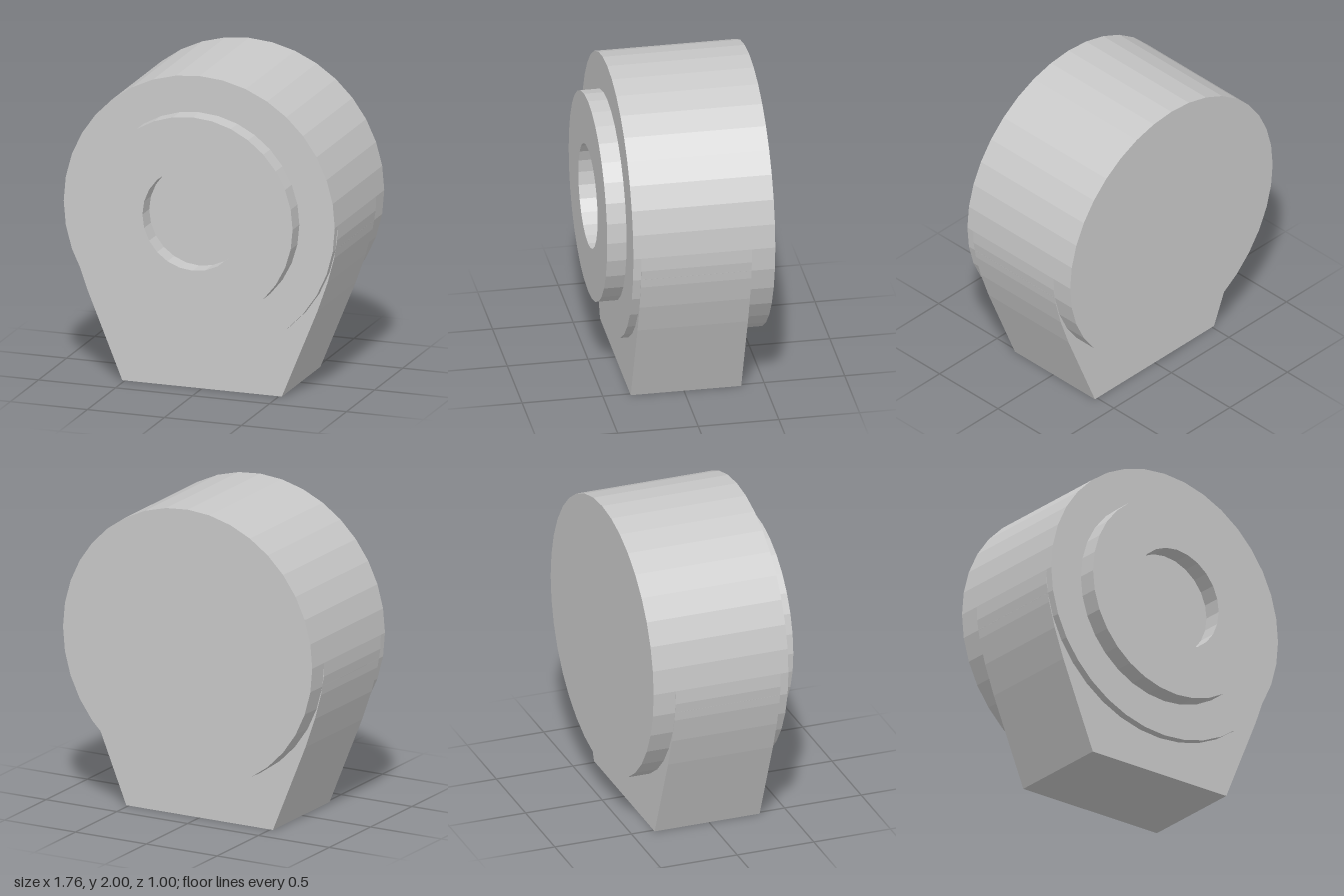
import * as THREE from 'three';

const CENTRE_Y = 1.12;

// Points of a regular polygon around the housing axis
function circle(radius, sides) {
  return Array.from({ length: sides }, (_, i) => {
    const a = (i / sides) * Math.PI * 2;
    return new THREE.Vector2(Math.cos(a) * radius, CENTRE_Y + Math.sin(a) * radius);
  });
}

export function createModel() {
  const model = new THREE.Group();
  const grey = new THREE.MeshStandardMaterial({ color: 0xc8c8c8 });
  grey.name = 'light grey';
  grey.flatShading = true;

  // Extrude an outline from zBack to zFront
  function slab(name, shape, zBack, zFront) {
    const geometry = new THREE.ExtrudeGeometry(shape, { depth: zFront - zBack, bevelEnabled: false });
    geometry.translate(0, 0, zBack);
    const mesh = new THREE.Mesh(geometry, grey);
    mesh.name = name;
    model.add(mesh);
  }

  // Main round housing
  slab('housing', new THREE.Shape(circle(0.88, 36)), -0.5, 0.38);

  // Raised ring with a shallow central recess
  const ring = new THREE.Shape(circle(0.65, 32));
  ring.holes.push(new THREE.Path(circle(0.325, 24)));
  slab('frontRing', ring, 0.38, 0.5);

  // Foot whose sides sweep up into the housing
  const side = [[0.518, 0], [0.747, 0.56], [0.814, 0.75], [0.857, 0.91], [0.877, 1.03], [0.88, 1.12], [0.84, 1.2]];
  const outline = [
    ...side.map(([x, y]) => new THREE.Vector2(x, y)),
    ...side.slice().reverse().map(([x, y]) => new THREE.Vector2(-x, y)),
  ];
  slab('foot', new THREE.Shape(outline), -0.355, 0.33);

  return model;
}
